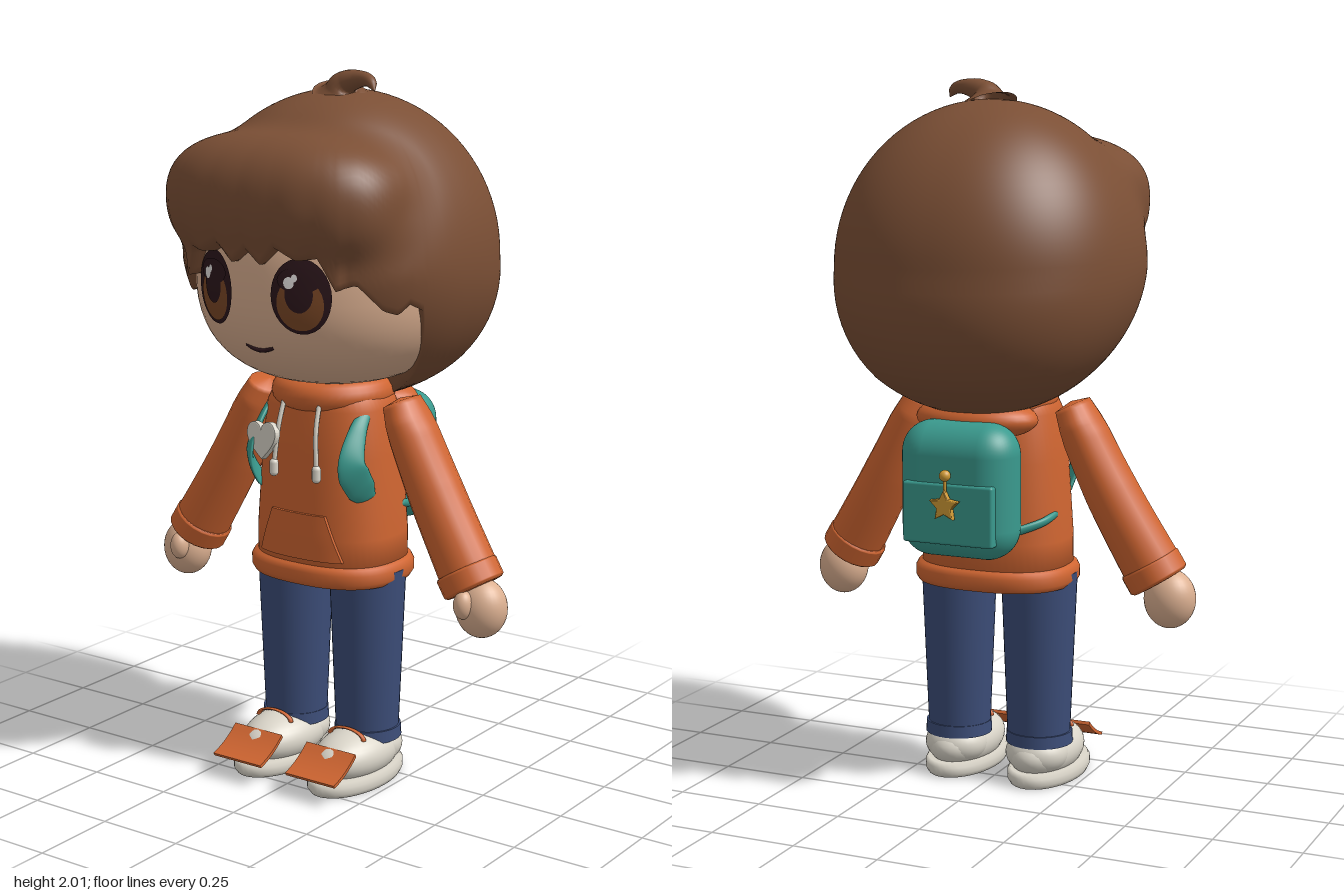
import * as THREE from 'three';
import { mergeVertices } from 'three/addons/utils/BufferGeometryUtils.js';
import { RoundedBoxGeometry } from 'three/addons/geometries/RoundedBoxGeometry.js';

const V = (x, y, z) => new THREE.Vector3(x, y, z);

const colours = {
  hair: 0x7b4f35, skin: 0xdcb091, hoodie: 0xcf6531, teal: 0x3a9a8e, denim: 0x3c4d78,
  cream: 0xdad5c9, gold: 0xd09a35, dark: 0x2c161b, iris: 0x7c4826, white: 0xf6f2f0,
};

// straight-line lookup in a list of [key, value]
function lookup(table, x) {
  for (let i = 1; i < table.length; i++) {
    const [x0, y0] = table[i - 1], [x1, y1] = table[i];
    if (x <= x1) return y0 + (y1 - y0) * THREE.MathUtils.clamp((x - x0) / (x1 - x0), 0, 1);
  }
  return table[table.length - 1][1];
}

function smooth(g) {
  g.deleteAttribute('uv');
  g.deleteAttribute('normal');
  const m = mergeVertices(g, 1e-4);
  m.computeVertexNormals();
  return m;
}

function warp(g, rule) {
  const p = g.attributes.position, v = V(0, 0, 0);
  for (let i = 0; i < p.count; i++) {
    v.fromBufferAttribute(p, i);
    rule(v);
    p.setXYZ(i, v.x, v.y, v.z);
  }
  g.computeVertexNormals();
  return g;
}

const turned = (profile, sides) =>
  new THREE.LatheGeometry(profile.map(([r, y]) => new THREE.Vector2(r, y)), sides);

// rows x cols grid of points, closed around the columns
function gridSurface(rows, cols, point) {
  const pos = [], index = [];
  for (let i = 0; i <= rows; i++) for (let j = 0; j < cols; j++) {
    pos.push(...point(i, j).toArray());
    if (i < rows) {
      const k = (j + 1) % cols, a = i * cols + j, b = a + cols, c = (i + 1) * cols + k, d = i * cols + k;
      index.push(a, b, c, a, c, d);
    }
  }
  const g = new THREE.BufferGeometry();
  g.setAttribute('position', new THREE.Float32BufferAttribute(pos, 3));
  g.setIndex(index);
  g.computeVertexNormals();
  return g;
}

// elliptical tube along a path: thick = radius facing away from centre, wide = radius across it
function sweep(points, centre, thick, wide = thick, rows = 48, cols = 20) {
  const path = new THREE.CatmullRomCurve3(points);
  return gridSurface(rows, cols, (i, j) => {
    const t = i / rows, p = path.getPoint(t), tan = path.getTangent(t), n = p.clone().sub(centre);
    n.addScaledVector(tan, -n.dot(tan)).normalize();
    const w = tan.clone().cross(n), a = -j / cols * Math.PI * 2;
    return p.addScaledVector(n, Math.cos(a) * lookup(thick, t)).addScaledVector(w, Math.sin(a) * lookup(wide, t));
  });
}

// face surface depth at x, y
function faceZ(x, y) {
  const k = Math.pow(1 - Math.pow(Math.abs(y - 1.46) / 0.315, 2.5), 0.4);
  return 0.02 + 0.38 * Math.sqrt(Math.max(0, k * k - (x / 0.385) ** 2));
}

// hair volume: skull, leaning back below the middle, blended with a boxy fringe
function hairField(p) {
  const y = p.y - 1.49, q = (v, r, e) => Math.pow(Math.abs(v) / r, e);
  const z = p.z + 0.02 + 0.06 * THREE.MathUtils.clamp(-y / 0.3, 0, 1);
  const flat = Math.pow(q(p.x, 0.425, 2.25) + q(z, 0.43, 2.25), 1 / 2.25);
  const skull = (Math.hypot(flat, y / (y > 0 ? 0.46 : 0.41)) - 1) * 0.43;
  const fz = p.z - 0.22 - 0.12 * Math.min(0, p.y - 1.66);
  const fringe = (Math.pow(q(p.x, 0.36, 2.6) + q(p.y - 1.66, 0.195, 2.6) + q(fz, 0.23, 2.6), 1 / 2.6) - 1) * 0.2;
  const h = Math.max(0.03 - Math.abs(skull - fringe), 0) / 0.03;
  return Math.min(skull, fringe) - h * h * 0.0075;
}

// lowest elevation of the hair for each angle away from the front, in degrees
const hairline = [[0, 9], [6, 4], [12, 10], [20, 6], [27, 7], [33, -4], [40, -2], [50, -12], [56, -14],
  [60, -10], [66, -13], [70, -26], [75, -40], [82, -54], [100, -72], [180, -76]];

function hairGeometry() {
  const rows = 42, cols = 240, centre = V(0, 1.49, -0.02);
  return gridSurface(rows, cols, (i, j) => {
    const a = j / cols * Math.PI * 2, deg = Math.abs(j / cols * 360 - (j > cols / 2 ? 360 : 0));
    const t = Math.min(1, i / (rows - 2));
    const e = (90 + (lookup(hairline, deg) - 90) * t) * Math.PI / 180;
    const dir = V(Math.sin(a) * Math.cos(e), Math.sin(e), Math.cos(a) * Math.cos(e));
    let lo = 0, hi = 0.9;
    for (let n = 0; n < 24; n++) {
      const mid = (lo + hi) / 2;
      if (hairField(centre.clone().addScaledVector(dir, mid)) < 0) lo = mid; else hi = mid;
    }
    // locks swell near the fringe edge, and the rim folds inward
    if (deg < 36) lo *= 1 + 0.012 * (1 + Math.cos((deg - 6) / 13.5 * Math.PI * 2)) * t ** 8;
    lo *= 1 - 0.05 * Math.max(0, i - (rows - 2));
    return centre.clone().addScaledVector(dir, lo);
  });
}

// hoodie body: a turned profile squared off into a rounded box section
const bodyRadius = [[0.6, 0.215], [0.72, 0.215], [0.95, 0.2], [1.08, 0.185]];
function squared(profile) {
  return smooth(warp(turned(profile, 64), v => {
    const r = Math.hypot(v.x, v.z);
    const k = r < 1e-5 ? 1 : Math.pow(Math.abs(v.x / r) ** 2.5 + Math.abs(v.z / r) ** 2.5, -0.4);
    v.x *= k;
    v.z = v.z * k * 0.8 + 0.025;
  }));
}
function bodyZ(x, y) {
  const r = lookup(bodyRadius, y);
  return 0.025 + 0.8 * r * Math.pow(Math.max(0, 1 - Math.pow(Math.abs(x) / r, 2.5)), 0.4);
}

export function createModel() {
  const model = new THREE.Group(), mat = {};
  for (const [name, color] of Object.entries(colours)) {
    mat[name] = new THREE.MeshStandardMaterial({ color });
    mat[name].name = name;
  }
  mat.hair.side = THREE.DoubleSide;
  const add = (name, geometry, material, x = 0, y = 0, z = 0) => {
    const m = new THREE.Mesh(geometry, mat[material]);
    m.name = name;
    m.position.set(x, y, z);
    model.add(m);
    return m;
  };
  const ball = (name, material, x, y, z, rx, ry, rz) =>
    add(name, new THREE.SphereGeometry(1, 32, 20), material, x, y, z).scale.set(rx, ry, rz);

  // head
  const face = [];
  for (let i = 0; i <= 32; i++) {
    const a = (i / 32 - 0.5) * Math.PI, s = Math.sin(a);
    face.push([0.385 * Math.abs(Math.cos(a)) ** 0.8, 1.46 + 0.315 * Math.sign(s) * Math.abs(s) ** 0.8]);
  }
  add('face', smooth(warp(turned(face, 64), v => { v.z = v.z * 0.987 + 0.02; })), 'skin');
  add('neck', new THREE.CylinderGeometry(0.1, 0.1, 0.16, 24), 'skin', 0, 1.12, 0.02);
  add('hair', hairGeometry(), 'hair');
  add('hairCurl', sweep([V(0.03, 1.93, 0.02), V(0.045, 1.965, 0.03), V(0.09, 1.98, 0.035), V(0.14, 1.978, 0.05), V(0.17, 1.952, 0.07)],
    V(0.05, 1.9, -5), [[0, 0.085], [0.15, 0.05], [0.3, 0.033], [0.6, 0.021], [0.85, 0.013], [1, 0]]), 'hair');

  // eyes: thin discs laid on the face
  const disc = (name, material, x, y, rx, ry, lift) => add(name, warp(new THREE.RingGeometry(0, 1, 32, 5), v => {
    v.set(x + v.x * rx, y + v.y * ry, 0);
    v.z = faceZ(v.x, v.y) + lift;
  }), material);
  for (const s of [-1, 1]) {
    const x = s * 0.142;
    disc('eyeOutline', 'dark', x, 1.438, 0.077, 0.102, 0.004);
    disc('iris', 'iris', x, 1.418, 0.06, 0.072, 0.006);
    disc('pupil', 'dark', x, 1.445, 0.036, 0.05, 0.008);
    disc('eyeShade', 'dark', x, 1.482, 0.057, 0.034, 0.0075);
    disc('eyeGlint', 'white', x - 0.024, 1.475, 0.014, 0.016, 0.0095);
    disc('smallGlint', 'white', x - 0.01, 1.488, 0.008, 0.01, 0.0095);
  }
  const smile = [-0.045, -0.023, 0, 0.023, 0.045].map(x => V(x, 1.278 + x * x * 6, faceZ(x, 1.28) + 0.001));
  add('mouth', new THREE.TubeGeometry(new THREE.CatmullRomCurve3(smile), 16, 0.006, 8), 'dark');

  // hoodie
  add('hoodieBody', squared([[0, 0.6], ...bodyRadius.map(([y, r]) => [r, y]), [0.165, 1.125], [0.12, 1.155], [0, 1.16]]), 'hoodie');
  add('hoodieHem', squared([[0, 0.582], [0.2, 0.58], [0.225, 0.585], [0.234, 0.6], [0.234, 0.625], [0.226, 0.64], [0.2, 0.65]]), 'hoodie');
  const collar = add('collar', new THREE.TorusGeometry(0.13, 0.045, 16, 48), 'hoodie', 0, 1.115, 0.02);
  collar.rotation.x = Math.PI / 2;
  ball('hood', 'hoodie', 0, 1.075, -0.12, 0.18, 0.06, 0.11);
  add('frontPocket', warp(new THREE.BoxGeometry(1, 1, 1, 16, 6, 1), v => {
    const lift = v.z > 0 ? 0.009 : -0.01;
    v.x *= 0.28 - 0.1 * (v.y + 0.5);
    v.y = 0.725 + v.y * 0.13;
    v.z = bodyZ(v.x, v.y) + lift;
  }), 'hoodie');

  // sleeves, hands, drawstrings and pack straps
  for (const s of [-1, 1]) {
    const back = V(s * 0.3, 0.9, -5), chest = V(0, 0.92, 0.02);
    add('sleeve', sweep([V(s * 0.225, 1.115, 0.02), V(s * 0.345, 0.87, 0.025), V(s * 0.485, 0.625, 0.04)], back,
      [[0, 0], [0.02, 0.065], [0.12, 0.082], [0.92, 0.084], [0.98, 0.08], [1, 0]],
      [[0, 0], [0.02, 0.05], [0.2, 0.066], [0.5, 0.076], [0.92, 0.084], [0.98, 0.08], [1, 0]]), 'hoodie');
    add('cuff', sweep([V(s * 0.455, 0.672, 0.038), V(s * 0.49, 0.615, 0.04)], back,
      [[0, 0], [0.1, 0.084], [0.25, 0.089], [0.85, 0.089], [0.95, 0.08], [1, 0]]), 'hoodie');
    ball('hand', 'skin', s * 0.515, 0.57, 0.05, 0.074, 0.084, 0.068);
    ball('thumb', 'skin', s * 0.495, 0.59, 0.112, 0.027, 0.04, 0.03);
    const string = [V(s * 0.058, 1.14, 0.16), V(s * 0.064, 1.03, 0.195), V(s * 0.072, 0.93, 0.205)];
    add('drawstring', new THREE.TubeGeometry(new THREE.CatmullRomCurve3(string), 16, 0.007, 8), 'cream');
    add('stringTip', new THREE.CapsuleGeometry(0.013, 0.025, 6, 12), 'cream', s * 0.073, 0.912, 0.206);
    add('frontStrap', sweep([V(s * 0.158, 1.1, 0.07), V(s * 0.165, 1.03, 0.14), V(s * 0.175, 0.945, 0.182),
      V(s * 0.18, 0.88, 0.15), V(s * 0.18, 0.82, 0.09)], chest,
    [[0, 0], [0.1, 0.009], [0.9, 0.009], [1, 0]], [[0, 0.012], [0.25, 0.026], [0.6, 0.045], [0.8, 0.042], [1, 0.015]]), 'teal');
    add('lowerStrap', sweep([V(s * 0.2, 0.805, 0), V(s * 0.185, 0.785, -0.085), V(s * 0.1, 0.755, -0.17)], chest,
      [[0, 0], [0.15, 0.01], [1, 0.01]], [[0, 0], [0.2, 0.013], [1, 0.016]]), 'teal');
  }

  // heart badge
  const heart = new THREE.Shape();
  heart.moveTo(0, -0.05);
  heart.bezierCurveTo(-0.05, -0.015, -0.07, 0.01, -0.055, 0.035);
  heart.bezierCurveTo(-0.04, 0.055, -0.01, 0.05, 0, 0.025);
  heart.bezierCurveTo(0.01, 0.05, 0.04, 0.055, 0.055, 0.035);
  heart.bezierCurveTo(0.07, 0.01, 0.05, -0.015, 0, -0.05);
  const bevel = { depth: 0.012, bevelSize: 0.004, bevelThickness: 0.004, bevelSegments: 2 };
  const badge = add('heartBadge', new THREE.ExtrudeGeometry(heart, bevel), 'cream', -0.115, 0.982, 0.19);
  badge.rotation.set(-0.08, -0.25, 0.1);

  // backpack
  add('backpack', new RoundedBoxGeometry(0.34, 0.38, 0.18, 6, 0.088), 'teal', 0, 0.89, -0.224);
  add('packPocket', new RoundedBoxGeometry(0.27, 0.17, 0.04, 4, 0.008), 'teal', 0, 0.835, -0.3);
  const star = new THREE.Shape();
  for (let i = 0; i < 10; i++) {
    const r = i % 2 ? 0.019 : 0.04, a = Math.PI / 2 + i * Math.PI / 5;
    star[i ? 'lineTo' : 'moveTo'](r * Math.cos(a), r * Math.sin(a));
  }
  add('starCharm', new THREE.ExtrudeGeometry(star, bevel), 'gold', 0, 0.862, -0.338);
  add('charmCord', new THREE.CylinderGeometry(0.005, 0.005, 0.06, 8), 'gold', 0, 0.915, -0.33);
  ball('charmBead', 'gold', 0, 0.945, -0.33, 0.016, 0.016, 0.016);

  // legs and shoes
  for (const s of [-1, 1]) {
    const x = s * 0.128;
    add('trouserLeg', new THREE.CylinderGeometry(0.11, 0.09, 0.5, 32), 'denim', x - s * 0.002, 0.37, 0.032);
    add('trouserCuff', new THREE.CylinderGeometry(0.095, 0.097, 0.035, 32), 'denim', x, 0.132, 0.032);
    const sole = turned([[0, 0], [0.95, 0], [1, 0.012], [1, 0.03], [0.94, 0.042], [0, 0.042]], 40);
    add('sole', sole, 'cream', x + s * 0.003, 0, 0.098).scale.set(0.105, 1, 0.188);
    ball('shoe', 'cream', x, 0.078, 0.087, 0.098, 0.075, 0.168);
    ball('heel', 'cream', x, 0.085, 0.015, 0.092, 0.065, 0.088);
    add('toeFlap', warp(new THREE.BoxGeometry(0.168, 0.01, 0.12, 1, 1, 6), v => {
      v.y += v.z * v.z * 2;
    }), 'hoodie', x, 0.086, 0.262).rotation.x = 0.52;
    add('shoeTrim', new THREE.TorusGeometry(0.058, 0.007, 8, 24, Math.PI), 'hoodie', x, 0.135, 0.137).scale.y = 0.45;
  }
  return model;
}
